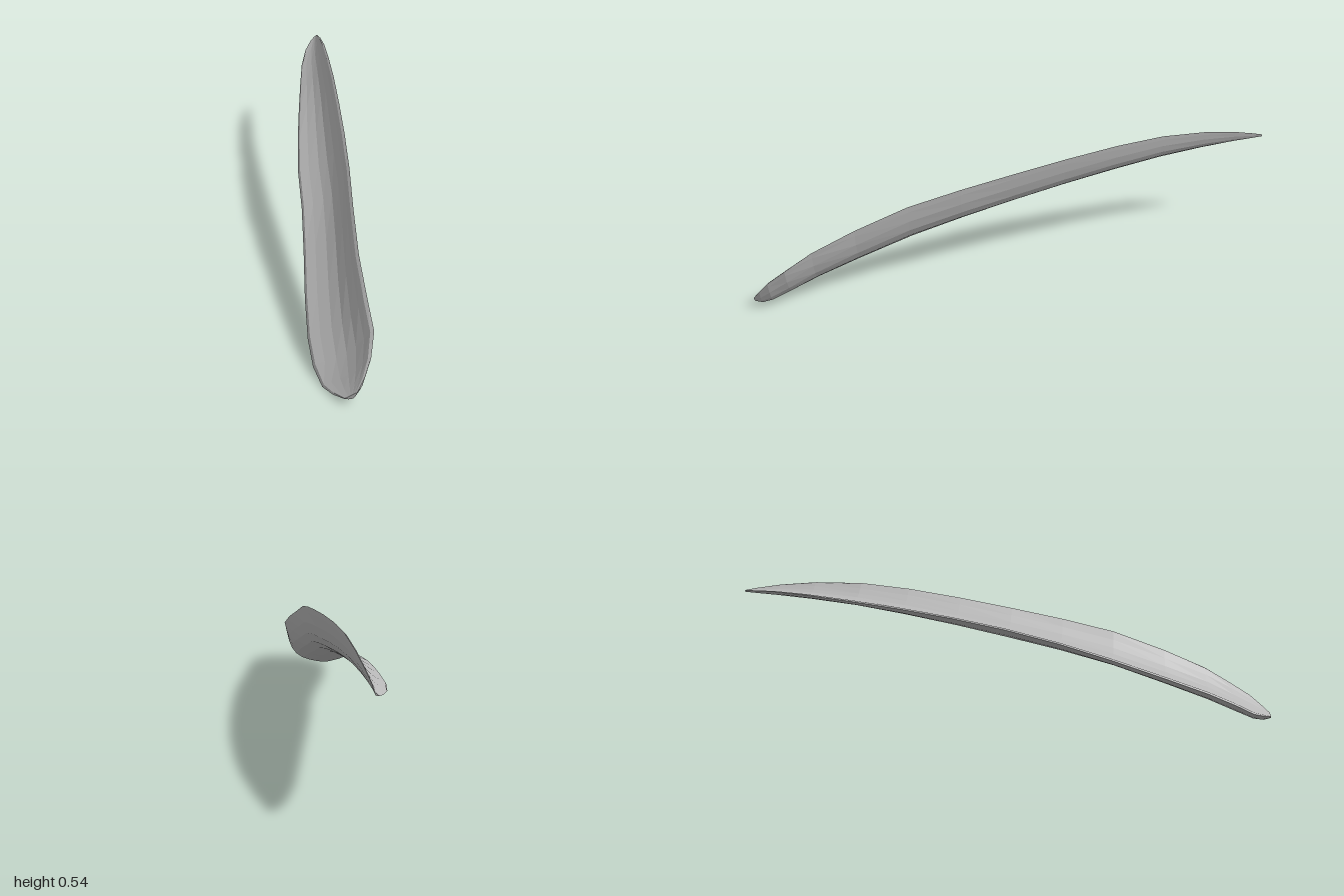
import * as THREE from 'three';

// Cross-sections from the wide front end to the narrow back tip:
// z, lower edge x y, upper edge x y, depth of the outer bulge, depth of the hollow
const SECTIONS = [
  [1.00, 0.250, 0.022, 0.292, 0.055, 0.012, 0.000],
  [0.97, 0.205, 0.008, 0.312, 0.100, 0.036, 0.004],
  [0.93, 0.160, 0.000, 0.324, 0.150, 0.052, 0.010],
  [0.86, 0.112, 0.022, 0.320, 0.205, 0.062, 0.018],
  [0.76, 0.070, 0.058, 0.277, 0.262, 0.070, 0.026],
  [0.60, 0.022, 0.112, 0.216, 0.325, 0.074, 0.034],
  [0.40, -0.030, 0.180, 0.155, 0.395, 0.074, 0.036],
  [0.20, -0.085, 0.240, 0.100, 0.440, 0.074, 0.036],
  [0.00, -0.148, 0.285, 0.040, 0.475, 0.072, 0.034],
  [-0.20, -0.198, 0.325, -0.024, 0.505, 0.066, 0.032],
  [-0.40, -0.242, 0.360, -0.090, 0.528, 0.058, 0.028],
  [-0.58, -0.280, 0.387, -0.152, 0.536, 0.048, 0.022],
  [-0.75, -0.314, 0.411, -0.210, 0.523, 0.038, 0.016],
  [-0.88, -0.328, 0.430, -0.257, 0.498, 0.026, 0.010],
  [-0.96, -0.324, 0.442, -0.288, 0.474, 0.014, 0.004],
  [-1.00, -0.315, 0.450, -0.300, 0.462, 0.006, 0.000],
];
const OUTER = [0, 0.07, 0.2, 0.35, 0.5, 0.65, 0.8, 0.93, 1];
const INNER = [0.95, 0.82, 0.66, 0.5, 0.34, 0.18, 0.05];

// Crescent outline: round the bulging underside, then back through the hollow
function crescent([z, ax, ay, bx, by, bulge, hollow]) {
  const dx = bx - ax, dy = by - ay, len = Math.hypot(dx, dy);
  const nx = dy / len, ny = -dx / len;
  const at = (s, d) => [ax + dx * s + nx * d, ay + dy * s + ny * d, z];
  const lip = 0.03 * len;
  return [
    ...OUTER.map((s) => at(s, bulge * Math.sin(Math.PI * s))),
    ...INNER.map((s) => at(s, (hollow + lip) * Math.sin(Math.PI * s) - lip)),
  ];
}

function shellGeometry() {
  const rings = SECTIONS.map(crescent);
  const n = rings[0].length, last = rings.length - 1;
  const index = [];
  for (let i = 0; i < last; i++) {
    for (let j = 0; j < n; j++) {
      const k = (j + 1) % n;
      const a = i * n + j, b = i * n + k, c = a + n, d = b + n;
      index.push(a, c, b, b, c, d);
    }
  }
  // End caps
  for (let j = 1; j < n - 1; j++) {
    index.push(0, j, j + 1);
    index.push(last * n, last * n + j + 1, last * n + j);
  }
  const geometry = new THREE.BufferGeometry();
  geometry.setAttribute('position', new THREE.Float32BufferAttribute(rings.flat(2), 3));
  geometry.setIndex(index);
  geometry.computeVertexNormals();
  return geometry;
}

export function createModel() {
  const grey = new THREE.MeshStandardMaterial({ color: 0xb8b8b8, flatShading: true });
  grey.name = 'grey';
  const shell = new THREE.Mesh(shellGeometry(), grey);
  shell.name = 'curvedBlade';
  const model = new THREE.Group();
  model.name = 'curvedBladeModel';
  model.add(shell);
  return model;
}
